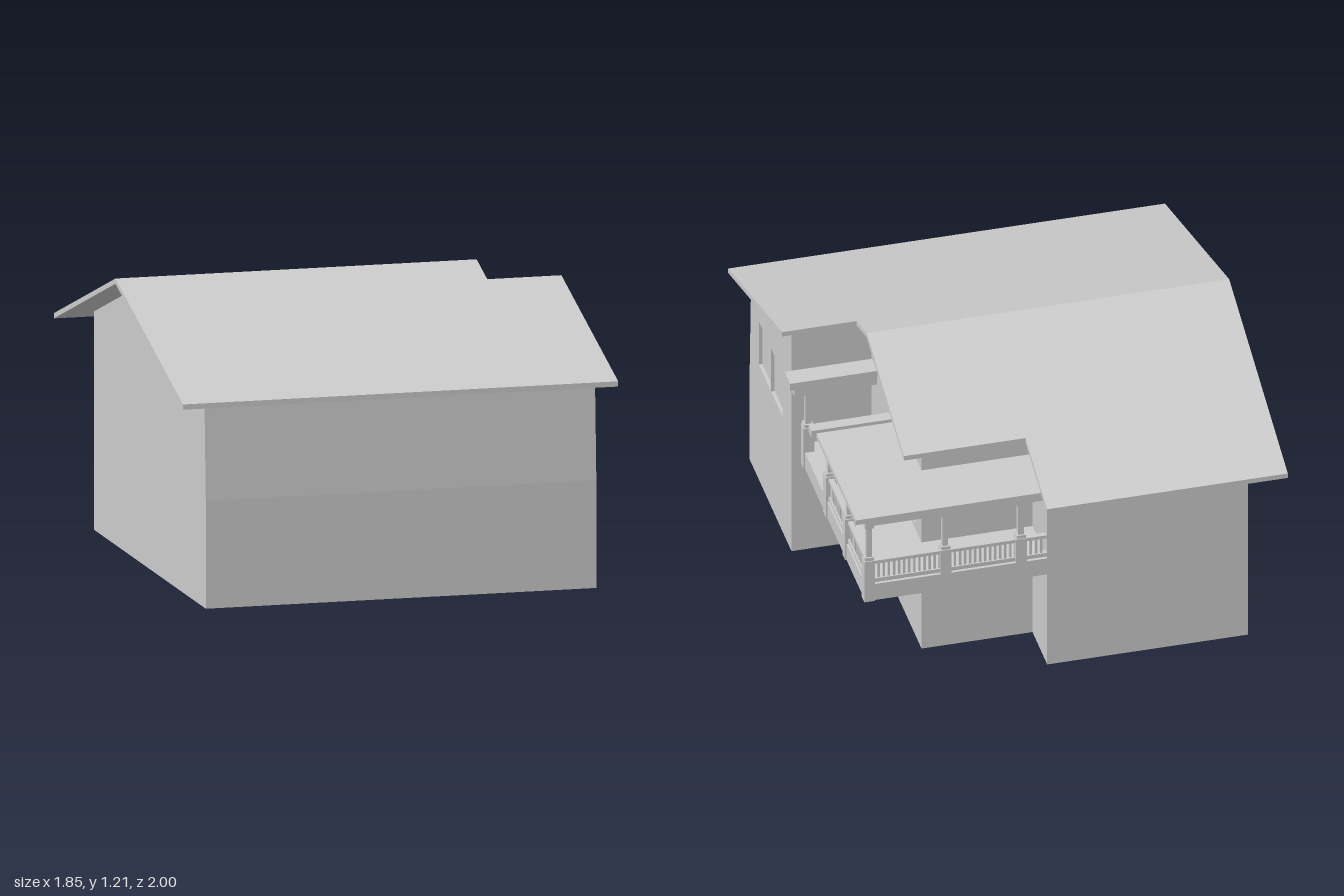
import * as THREE from 'three';

const RIDGE_Z = -0.045, RIDGE_Y = 1.21, EAVE_Y = 0.883, THICK = 0.022;

// height of the roof's top surface at a given depth
function roofY(z) {
  const reach = z > RIDGE_Z ? 1 - RIDGE_Z : 1 + RIDGE_Z;
  return RIDGE_Y - (RIDGE_Y - EAVE_Y) * Math.abs(z - RIDGE_Z) / reach;
}

export function createModel() {
  const model = new THREE.Group();
  const grey = new THREE.MeshStandardMaterial({ color: 0xcccccc });
  grey.name = 'plainGrey';

  function add(geometry, name, parent = model) {
    const mesh = new THREE.Mesh(geometry, grey);
    mesh.name = name;
    parent.add(mesh);
    return mesh;
  }

  function group(name) {
    const g = new THREE.Group();
    g.name = name;
    model.add(g);
    return g;
  }

  // box from its low and high corners
  function box(name, x0, x1, y0, y1, z0, z1, parent) {
    const g = new THREE.BoxGeometry(x1 - x0, y1 - y0, z1 - z0);
    g.translate((x0 + x1) / 2, (y0 + y1) / 2, (z0 + z1) / 2);
    return add(g, name, parent);
  }

  // side profile of [z, y] points extruded from x0 to x1
  function slice(name, x0, x1, points, holes, parent) {
    const toV = ([z, y]) => new THREE.Vector2(-z, y);
    const shape = new THREE.Shape(points.map(toV));
    for (const [z0, z1, y0, y1] of holes) {
      shape.holes.push(new THREE.Path([[z0, y0], [z0, y1], [z1, y1], [z1, y0]].map(toV)));
    }
    const g = new THREE.ExtrudeGeometry(shape, { depth: x1 - x0, bevelEnabled: false });
    g.rotateY(Math.PI / 2);
    g.translate(x0, 0, 0);
    return add(g, name, parent);
  }

  // walls: vertical lower storey, front leaning slightly inward above
  const walls = group('walls');
  function wall(name, x0, x1, zBack, holes = []) {
    const under = z => roofY(z) - THICK;
    const pts = [[0.88, 0], [0.88, 0.45], [0.857, under(0.857)]];
    if (zBack < RIDGE_Z) pts.push([RIDGE_Z, under(RIDGE_Z)]);
    pts.push([zBack, under(zBack)], [zBack, 0]);
    slice(name, x0, x1, pts, holes, walls);
  }
  wall('mainBlock', -0.8, 0.05, -0.85);
  wall('middleBlock', 0.05, 0.505, -0.61);
  wall('middleWindowWall', 0.505, 0.52, -0.61,
    [[-0.375, -0.25, 0.56, 0.77], [-0.51, -0.39, 0.56, 0.77]]);
  wall('frontWing', 0.52, 0.845, 0.2);
  wall('frontWingWindowWall', 0.845, 0.86, 0.2,
    [[0.545, 0.73, 0.575, 0.79], [0.345, 0.53, 0.575, 0.79]]);

  // gable roof in three stepped strips
  const roof = group('roof');
  for (const [x0, x1, zBack] of [[-0.93, 0.09, -1], [0.09, 0.605, -0.65], [0.605, 0.92, 0.12]]) {
    const zs = zBack < RIDGE_Z ? [1, RIDGE_Z, zBack] : [1, zBack];
    const top = zs.map(z => [z, roofY(z)]);
    const bottom = zs.map(z => [z, roofY(z) - THICK]).reverse();
    slice('roofStrip', x0, x1, [...top, ...bottom], [], roof);
  }

  // door knobs on the entry wall
  for (const z of [-0.02, -0.062]) {
    add(new THREE.SphereGeometry(0.013, 16, 12), 'doorKnob').position.set(0.53, 0.657, z);
  }

  // L-shaped deck
  const deck = group('deck');
  box('deckSide', 0.52, 0.82, 0.45, 0.53, -0.85, 0.2, deck);
  box('deckBack', 0.05, 0.52, 0.45, 0.53, -0.85, -0.61, deck);

  // flat porch roof with supporting beams
  const porch = group('porchRoof');
  box('slabSide', 0.52, 0.87, 0.867, 0.89, -0.61, -0.24, porch);
  box('slabBack', 0.05, 0.87, 0.867, 0.89, -0.89, -0.61, porch);
  box('sideBeam', 0.782, 0.822, 0.825, 0.867, -0.855, -0.2, porch);
  box('backBeam', 0.05, 0.782, 0.825, 0.867, -0.855, -0.815, porch);

  // beams framing the entry
  box('entryBeamBack', 0.52, 0.89, 0.867, 0.905, -0.245, -0.195, porch);
  box('entryBeamFront', 0.52, 0.87, 0.83, 0.87, 0.115, 0.185, porch);
  box('entryBeamCap', 0.52, 0.89, 0.87, 0.905, 0.105, 0.195, porch);

  // posts: pedestal, column and capital
  const PX = 0.803, PZ = -0.833;
  const posts = group('posts');
  function post(x, z) {
    const block = (name, r, y0, y1) => box(name, x - r, x + r, y0, y1, z - r, z + r, posts);
    block('pedestal', 0.023, 0.45, 0.65);
    block('pedestalCap', 0.019, 0.65, 0.665);
    block('column', 0.012, 0.665, 0.81);
    block('capital', 0.018, 0.81, 0.835);
  }
  const sideZ = [-0.207, -0.52, PZ], backX = [PX, 0.48, 0.16];
  post(PX, 0.155);
  sideZ.forEach(z => post(PX, z));
  backX.slice(1).forEach(x => post(x, PZ));
  box('entryPostTop', PX - 0.012, PX + 0.012, 0.82, 0.87, -0.219, -0.195, posts);

  // railings between the posts
  const railings = group('railings');
  function railing(xa, za, xb, zb) {
    const length = Math.hypot(xb - xa, zb - za);
    const bay = new THREE.Group();
    bay.name = 'railingBay';
    bay.position.set(xa, 0, za);
    bay.rotation.y = Math.atan2(-(zb - za), xb - xa);
    railings.add(bay);
    box('topRail', 0, length, 0.626, 0.641, -0.011, 0.011, bay);
    box('bottomRail', 0, length, 0.535, 0.553, -0.011, 0.011, bay);
    const n = Math.round(length / 0.022);
    for (let i = 1; i < n; i++) {
      const s = length * i / n;
      box('baluster', s - 0.005, s + 0.005, 0.553, 0.626, -0.005, 0.005, bay);
    }
  }
  railing(PX, sideZ[0], PX, sideZ[1]);
  railing(PX, sideZ[1], PX, sideZ[2]);
  railing(backX[0], PZ, backX[1], PZ);
  railing(backX[1], PZ, backX[2], PZ);
  railing(backX[2], PZ, 0.05, PZ);

  return model;
}
